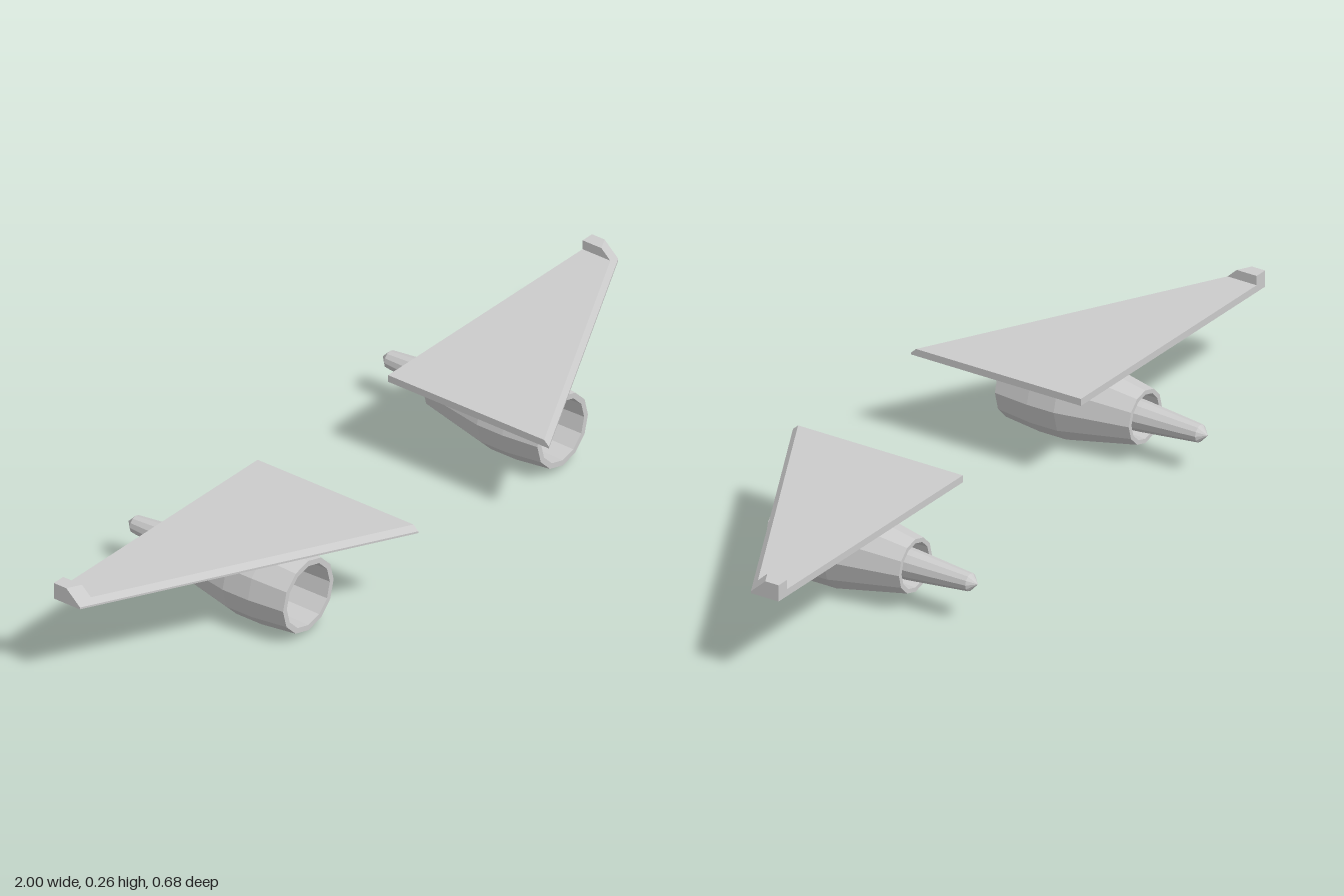
import * as THREE from 'three';

const material = new THREE.MeshStandardMaterial({ color: 0xcccccc, flatShading: true });

const ROOT = 0.2425, TIP = 1, REAR = -0.138, BOTTOM = 0.22;
const ENGINE_X = 0.4725, ENGINE_Y = 0.105;

function addMesh(parent, name, geometry) {
  const mesh = new THREE.Mesh(geometry, material);
  mesh.name = name;
  parent.add(mesh);
  return mesh;
}

// Swept leading edge: z for a distance from the centre line
const leadingEdge = (x) => THREE.MathUtils.mapLinear(Math.abs(x), ROOT, TIP, 0.34, -0.06);

// Slab between two x stations, with a bevelled leading edge and straight rear
function sweptSlab(xA, xB, top) {
  const bevel = (top - BOTTOM - 0.005) * 1.1;
  const positions = [], index = [], n = 5;
  for (const x of [xA, xB]) {
    const z = leadingEdge(x);
    const section = [[z, BOTTOM], [z, BOTTOM + 0.005], [z - bevel, top], [REAR, top], [REAR, BOTTOM]];
    for (const [pz, py] of section) positions.push(x, py, pz);
  }
  for (let i = 0; i < n; i++) {
    const j = (i + 1) % n;
    index.push(i, n + i, n + j, i, n + j, j);
  }
  for (let k = 1; k < n - 1; k++) {
    index.push(0, k, k + 1, n, n + k + 1, n + k);
  }
  const geometry = new THREE.BufferGeometry();
  geometry.setAttribute('position', new THREE.Float32BufferAttribute(positions, 3));
  geometry.setIndex(index);
  const flat = geometry.toNonIndexed();
  flat.computeVertexNormals();
  return flat;
}

// Twelve-sided turned body along z, from [radius, z] points
function turned(points) {
  const profile = points.map(([r, z]) => new THREE.Vector2(r, z));
  return new THREE.LatheGeometry(profile, 12).rotateX(Math.PI / 2);
}

function createEngine() {
  const engine = new THREE.Group();
  // Hollow nacelle: rear cavity, outer shell, front lip, intake
  addMesh(engine, 'nacelle', turned([
    [0, -0.1], [0.054, -0.1], [0.057, -0.162], [0.068, -0.162],
    [0.104, 0.025], [0.104, 0.1], [0.094, 0.197],
    [0.08, 0.197], [0.077, 0.1], [0.06, -0.09], [0, -0.09],
  ]));
  // Core with the pointed exhaust plug
  addMesh(engine, 'exhaustCone', turned([
    [0, -0.338], [0.022, -0.317], [0.037, -0.162], [0.044, -0.06], [0, -0.06],
  ]));
  // Pylon up to the wing
  addMesh(engine, 'pylon', new THREE.BoxGeometry(0.09, 0.035, 0.073))
    .position.set(0, 0.0985, 0.0615);
  return engine;
}

export function createModel() {
  const model = new THREE.Group();
  model.name = 'wingsWithEngines';
  for (const [side, label] of [[1, 'left'], [-1, 'right']]) {
    const half = new THREE.Group();
    half.name = label + 'Wing';
    // Slab stations must run towards +x on both sides
    const slab = (a, b, top) => (side > 0 ? sweptSlab(a, b, top) : sweptSlab(-b, -a, top));
    addMesh(half, 'wingPanel', slab(ROOT, 0.965, 0.238));
    addMesh(half, 'winglet', slab(0.965, TIP, 0.262));
    const engine = createEngine();
    engine.name = 'engine';
    engine.position.set(side * ENGINE_X, ENGINE_Y, 0);
    half.add(engine);
    model.add(half);
  }
  return model;
}
